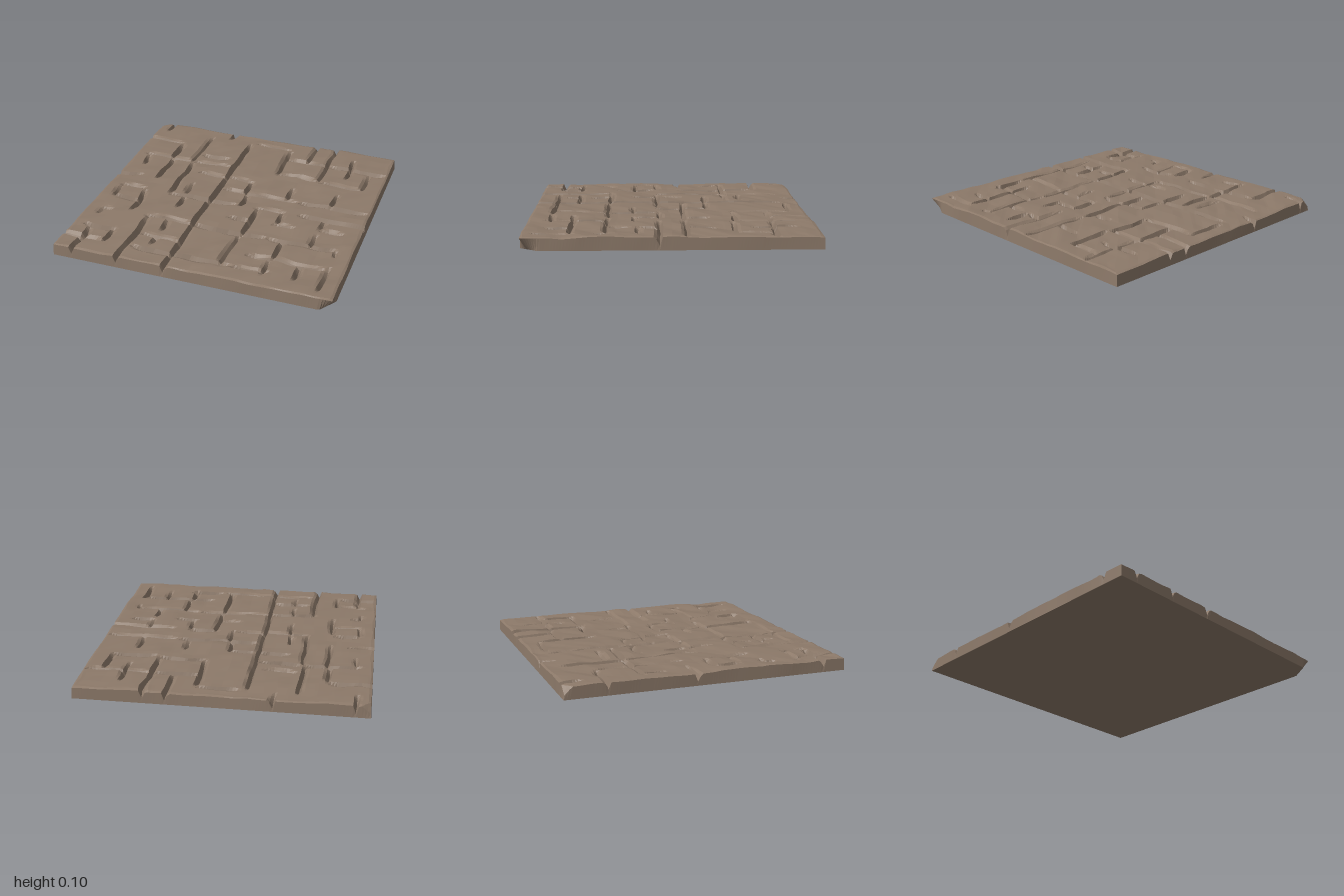
import * as THREE from 'three';

const N = 100;          // grid cells per side
const HALF = 0.995;
const TOP = 0.089;

// Joints running front to back: x, start z, end z (1 runs out through the edge)
const jointsZ = [
  [-0.9, -1, -0.85], [-0.36, -1, -0.88], [0.36, -1, -0.7], [0.51, -1, -0.45],
  [-0.51, -0.88, -0.42], [-0.18, -0.86, 1], [-0.69, -0.69, -0.43], [-0.67, -0.45, -0.08],
  [-0.5, -0.43, 0.08], [0.18, -0.86, -0.45], [0.69, -0.86, -0.55], [0.86, -0.68, -0.42],
  [0.69, -0.32, -0.1], [0.36, -0.3, -0.12], [0.03, -0.3, -0.08], [0.05, -0.1, 0.1],
  [-0.88, 0.08, 0.28], [-0.68, 0.1, 0.42], [-0.38, -0.12, 0.06], [-0.37, 0.08, 0.27],
  [0.19, 0.08, 0.45], [0.39, 0.08, 0.25], [0.7, 0.08, 0.22], [0.69, 0.27, 0.45],
  [0.5, 0.42, 0.68], [0.17, 0.44, 0.85], [-0.51, 0.43, 1], [-0.35, 0.43, 0.6],
  [-0.68, 0.65, 0.85], [-0.86, 0.68, 1], [-0.35, 0.65, 0.78], [0.48, 0.68, 0.88],
  [0.69, 0.66, 0.85], [0.88, 0.64, 0.92], [0.88, 0.43, 0.52], [-0.88, 0.42, 0.52],
  [-0.88, -0.43, -0.26],
];
// Joints running left to right: z, start x, end x
const jointsX = [
  [-0.69, -1, -0.69], [-0.55, -0.48, -0.25], [-0.43, -0.92, -0.5], [-0.43, -0.5, -0.2],
  [-0.88, -0.13, 0.18], [-0.69, 0.18, 0.52], [-0.69, 0.52, 0.98], [-0.45, 0.18, 0.53],
  [-0.43, 0.53, 0.87], [-0.27, -0.4, -0.17], [-0.27, -0.16, 0.05], [-0.1, -1, -0.8],
  [-0.1, -0.15, 0.45], [-0.1, 0.45, 0.98], [0.08, -0.9, -0.68], [0.08, -0.5, 0.03],
  [0.08, 0.17, 0.42], [0.07, 0.5, 1], [0.26, -0.9, -0.67], [0.25, 0.03, 0.2],
  [0.25, 0.36, 0.54], [0.22, 0.69, 0.88], [0.43, -0.55, -0.17], [0.43, -0.18, 0.38],
  [0.43, 0.38, 0.88], [0.43, -0.9, -0.8], [0.68, -0.92, -0.65], [0.68, -0.48, -0.17],
  [0.68, 0.3, 0.87], [0.83, -0.48, 0.25], [0.84, -1, -0.68], [0.84, 0.25, 0.52],
];

// Repeatable random value at a lattice point, from -1 to 1
function hash(i, j, seed) {
  const s = Math.sin(i * 127.1 + j * 311.7 + seed * 74.7) * 43758.5453;
  return 2 * (s - Math.floor(s)) - 1;
}

// Noise made of flat triangular facets
function facets(x, z, size, seed) {
  const u = x / size + 50, v = z / size + 50;
  const i = Math.floor(u), j = Math.floor(v), a = u - i, b = v - j;
  const h10 = hash(i + 1, j, seed), h01 = hash(i, j + 1, seed);
  return a + b < 1
    ? hash(i, j, seed) * (1 - a - b) + h10 * a + h01 * b
    : hash(i + 1, j + 1, seed) * (a + b - 1) + h01 * (1 - a) + h10 * (1 - b);
}

const toIndex = (v) => Math.round((v / HALF + 1) * N / 2);
const toCoord = (i) => (2 * i / N - 1) * HALF;

// Depth of the joints at every grid point
function carveJoints() {
  const depth = new Float32Array((N + 1) * (N + 1));
  const carve = (joints, alongZ, seed) => joints.forEach(([c, from, to], k) => {
    const line = toIndex(c), side = hash(k, 3, seed) > 0 ? 1 : -1;
    const start = from <= -1 ? -1.3 : from, end = to >= 1 ? 1.3 : to;
    for (let t = 0; t <= N; t++) {
      const s = toCoord(t), edge = Math.min(s - start, end - s);
      if (edge < 0) continue;
      const taper = Math.min(1, edge / 0.07);
      const d = (0.05 + 0.01 * facets(s, c, 0.15, seed)) * taper;
      // Valley line, plus a sloping shoulder on one side
      for (const [offset, amount] of [[0, 1], [side, 0.45 * taper * (0.5 + 0.5 * facets(s, c, 0.12, seed + 1))]]) {
        const l = line + offset;
        if (l < 0 || l > N) continue;
        const n = alongZ ? t * (N + 1) + l : l * (N + 1) + t;
        depth[n] = Math.max(depth[n], d * amount);
      }
    }
  });
  carve(jointsZ, true, 11);
  carve(jointsX, false, 23);
  return depth;
}

function flatGeometry(points, index) {
  const g = new THREE.BufferGeometry();
  g.setAttribute('position', new THREE.Float32BufferAttribute(points, 3));
  g.setIndex(index);
  const flat = g.toNonIndexed();
  flat.computeVertexNormals();
  return flat;
}

export function createModel() {
  const stone = new THREE.MeshStandardMaterial({ color: 0x8c7969 });
  stone.name = 'brown stone';
  const model = new THREE.Group();
  model.name = 'stoneFloorTile';
  const add = (name, geometry) => {
    const mesh = new THREE.Mesh(geometry, stone);
    mesh.name = name;
    model.add(mesh);
  };

  // Worn top: faceted surface with carved, slightly crooked joints
  const depth = carveJoints(), top = [], topIndex = [];
  for (let j = 0; j <= N; j++) {
    for (let i = 0; i <= N; i++) {
      const x = toCoord(i), z = toCoord(j);
      const rimX = i === 0 || i === N, rimZ = j === 0 || j === N;
      const px = x + (rimX ? -Math.sign(x) * 0.003 * (1 + facets(x, z, 0.2, 5)) : 0.011 * facets(x, z, 0.13, 1));
      const pz = z + (rimZ ? -Math.sign(z) * 0.004 * (1 + facets(x, z, 0.2, 6)) : 0.011 * facets(x, z, 0.13, 2));
      let y = TOP + 0.008 * facets(x, z, 0.19, 3) + 0.004 * facets(x, z, 0.09, 4) - depth[j * (N + 1) + i];
      if (rimX || rimZ) y -= 0.006;
      // Chipped back corner
      y = Math.min(y, 0.03 + (x + z + 2 * HALF) * 0.9);
      top.push(px, y, pz);
      if (i < N && j < N) {
        const a = j * (N + 1) + i, b = a + 1, c = a + N + 1, d = c + 1;
        topIndex.push(a, c, b, b, c, d);
      }
    }
  }
  add('pavedTop', flatGeometry(top, topIndex));

  // Rim points in order: front, right edge, back, left edge
  const rim = [];
  for (let k = 0; k < N; k++) rim.push([k, N]);
  for (let k = 0; k < N; k++) rim.push([N, N - k]);
  for (let k = 0; k < N; k++) rim.push([N - k, 0]);
  for (let k = 0; k < N; k++) rim.push([0, k]);

  // Side walls, undercut at one front corner
  const wall = [], wallIndex = [], base = [0, 0, 0], baseIndex = [];
  rim.forEach(([i, j], k) => {
    const n = 3 * (j * (N + 1) + i);
    let x = toCoord(i), z = toCoord(j);
    const over = (x - 0.91) / 0.085 + (z - 0.87) / 0.125 - 1;
    if (over > 0) {
      x -= over * 0.0425;
      z -= over * 0.0625;
    }
    wall.push(top[n], top[n + 1], top[n + 2], x, 0, z);
    base.push(x, 0, z);
    const next = (k + 1) % rim.length;
    wallIndex.push(2 * k, 2 * k + 1, 2 * next, 2 * next, 2 * k + 1, 2 * next + 1);
    baseIndex.push(0, next + 1, k + 1);
  });
  add('sideWalls', flatGeometry(wall, wallIndex));
  add('underside', flatGeometry(base, baseIndex));
  return model;
}
